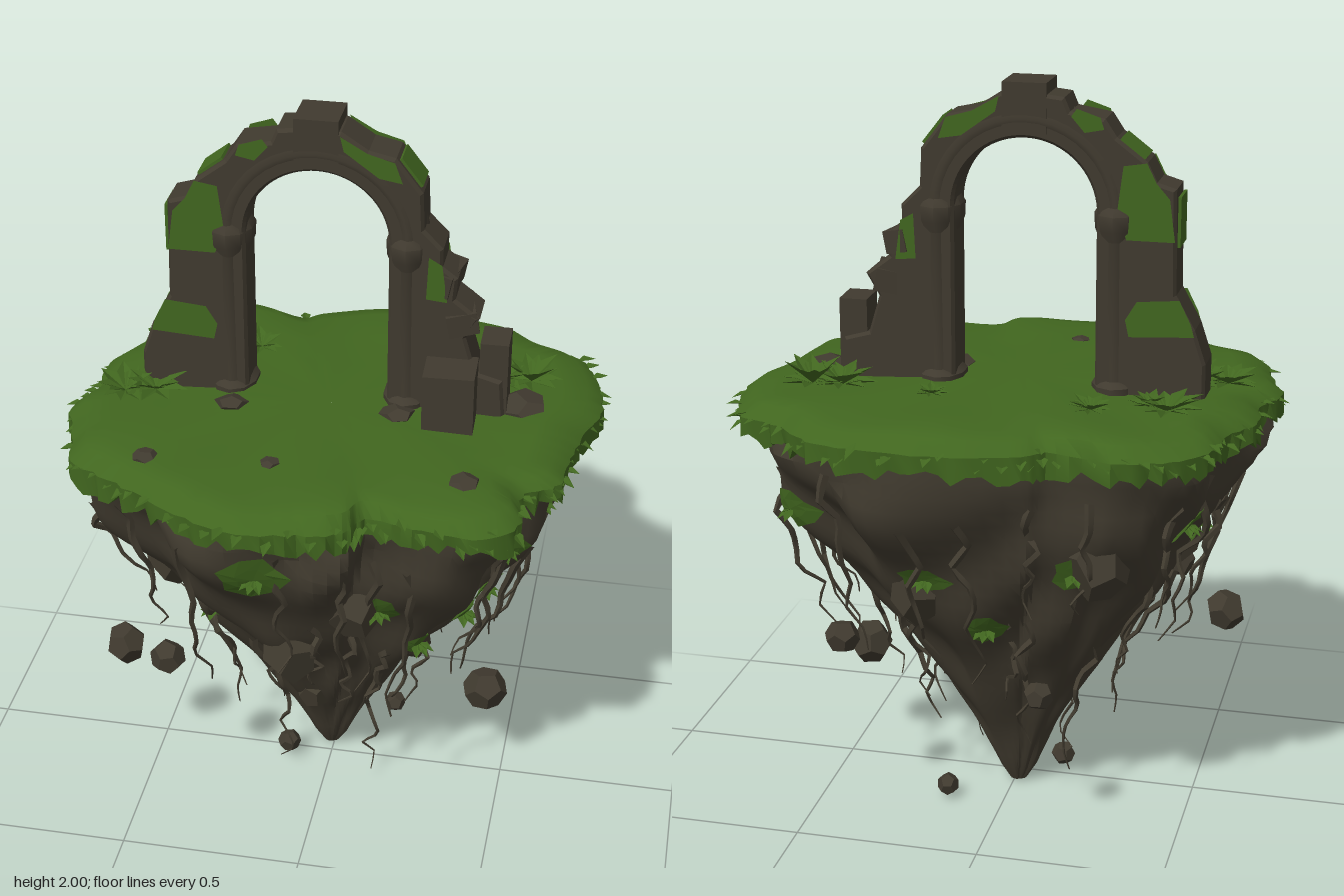
import * as THREE from 'three';
import { toCreasedNormals } from 'three/addons/utils/BufferGeometryUtils.js';

const TAU = Math.PI * 2;
const V = (x, y, z) => new THREE.Vector3(x, y, z);

export function createModel() {
  const model = new THREE.Group();
  const mat = (name, color, side = THREE.FrontSide) => {
    const m = new THREE.MeshStandardMaterial({ color, side });
    m.name = name;
    return m;
  };
  const stone = mat('stone', 0x403a2f);
  const cliffRock = mat('cliff rock', 0x423c30);
  const grass = mat('grass', 0x41661f, THREE.DoubleSide);
  const add = (name, geo, material, parent = model) => {
    const m = new THREE.Mesh(geo, material);
    m.name = name;
    parent.add(m);
    return m;
  };
  let seed = 7;
  const rand = (a = 0, b = 1) => {
    seed = (seed * 16807) % 2147483647;
    return a + (b - a) * seed / 2147483647;
  };

  // Island outline seen from above (x, z)
  const rim = [[-.13, -.54], [.06, -.59], [.25, -.59], [.42, -.55], [.52, -.46], [.63, -.41], [.68, -.31], [.7, -.155],
    [.66, -.02], [.64, .12], [.62, .23], [.54, .29], [.55, .42], [.45, .5], [.31, .49], [.17, .465], [.13, .535],
    [0, .57], [-.17, .585], [-.33, .51], [-.48, .42], [-.61, .34], [-.65, .21], [-.69, .08], [-.65, -.02],
    [-.65, -.17], [-.59, -.29], [-.58, -.39], [-.5, -.49], [-.37, -.54], [-.18, -.5]];
  const curve = new THREE.CatmullRomCurve3(rim.map(([x, z]) => V(x, 0, z)), true);
  const edge = t => curve.getPoint(((t % 1) + 1) % 1);
  const nearest = (x, z) => { // curve parameter lying in a given direction
    let best = 0, bd = -2;
    const l = Math.hypot(x, z);
    for (let i = 0; i < 200; i++) {
      const p = edge(i / 200), d = (p.x * x + p.z * z) / (l * Math.hypot(p.x, p.z));
      if (d > bd) { bd = d; best = i / 200; }
    }
    return best;
  };

  // Closed skin through rings; fn(i, j) gives a point, j runs outward and down
  const loft = (nu, nv, fn) => {
    const pos = [], idx = [];
    for (let j = 0; j <= nv; j++) for (let i = 0; i < nu; i++) pos.push(...fn(i, j).toArray());
    for (let j = 0; j < nv; j++) for (let i = 0; i < nu; i++) {
      const a = j * nu + i, b = j * nu + (i + 1) % nu;
      idx.push(a, b, a + nu, b, b + nu, a + nu);
    }
    const g = new THREE.BufferGeometry();
    g.setAttribute('position', new THREE.Float32BufferAttribute(pos, 3));
    g.setIndex(idx);
    return g;
  };

  // Tapering cliff with vertical buttresses
  const profile = [[1.16, .95], [1.08, .96], [1, .92], [.9, .84], [.8, .75], [.65, .6], [.5, .44], [.4, .345],
    [.2, .17], [.1, .105], [.03, .06], [.01, .035]];
  const widthAt = y => {
    for (let k = 1; k < profile.length; k++) {
      const [y1, f1] = profile[k], [y0, f0] = profile[k - 1];
      if (y >= y1) return THREE.MathUtils.mapLinear(Math.min(y, 1.16), y0, y1, f0, f1);
    }
    return .035;
  };
  const cliffPoint = (t, y, grow = 0) => {
    const p = edge(t), f = widthAt(y), l = Math.hypot(p.x, p.z), a = t * TAU;
    const round = .65 / l, k = THREE.MathUtils.lerp(1, round, (1 - f) * .7);
    const flute = .07 * Math.abs(Math.sin(a * 5.5 + Math.sin(y * 6) * .5)) - .05;
    const bulge = .03 * Math.sin(y * 19 + 3 * Math.sin(a * 4)) + .025 * Math.sin(a * 13 + y * 9);
    const s = f * k * (1 + (flute + bulge) * Math.min(1, (1.16 - y) * 6 + .2)) + grow / l;
    return V(p.x * s - .01 * (1 - f), y, p.z * s - .055 * (1 - f));
  };
  const cliffRows = 26;
  add('cliff', toCreasedNormals(loft(110, cliffRows + 1, (i, j) =>
    j > cliffRows ? V(-.01, .005, -.055) : cliffPoint(i / 110, 1.16 - 1.15 * j / cliffRows)), .55), cliffRock);

  // Slabs bulging out of the cliff
  const rock = (name, x, y, z, r, sy = 1, material = stone) => {
    const m = add(name, new THREE.DodecahedronGeometry(r, 0).toNonIndexed(), material);
    m.geometry.computeVertexNormals();
    m.position.set(x, y, z);
    m.scale.set(1, sy, .95);
    m.rotation.set(rand(-.4, .4), rand(0, 3), rand(-.3, .3));
    return m;
  };
  for (const [x, z, y, r] of [[.15, .4, .82, .09], [-.1, .5, .6, .09], [.6, .1, .8, .09], [-.6, .2, .75, .08],
    [-.4, -.5, .85, .09], [.3, -.5, .7, .08], [.5, .4, .6, .07], [-.1, .5, .3, .05]]) {
    const p = cliffPoint(nearest(x, z), y, -r * .55);
    rock('cliffSlab', p.x, p.y, p.z, r, 1.4, cliffRock);
  }

  // Grass cap with a ragged overhanging rim
  const cap = [[.001, 1.2], [.35, 1.205], [.65, 1.195], [.85, 1.2], [.95, 1.188], [1, 1.155], [1, 1.12], [.9, 1.125]];
  const nRim = 180, jag = Array.from({ length: nRim }, () => rand());
  add('grassCap', toCreasedNormals(loft(nRim, cap.length - 1, (i, j) => {
    const p = edge(i / nRim), [s, y] = cap[j], q = jag[i];
    const out = j === 5 ? .02 * q : j === 6 ? .045 * q - .02 : 0;
    const bump = j > 0 && j < 5 ? .007 * Math.sin(p.x * s * 15) * Math.cos(p.z * s * 13) : 0;
    return V(p.x * (s + out), y + bump - (j === 6 ? .045 * jag[(i + 3) % nRim] : 0), p.z * (s + out));
  }), .7), grass);

  // Pointed leaves, gathered into one geometry
  const leafMesh = (name, list) => {
    const pos = [];
    for (const [base, dir, len, width] of list) {
      const side = V(-dir.z, 0, dir.x).normalize().multiplyScalar(width / 2);
      const mid = base.clone().addScaledVector(dir, len * .5).add(V(0, len * .12, 0));
      const tip = base.clone().addScaledVector(dir, len);
      const l = mid.clone().add(side), r = mid.clone().sub(side);
      for (const p of [base, l, tip, base, tip, r]) pos.push(...p.toArray());
    }
    const g = new THREE.BufferGeometry();
    g.setAttribute('position', new THREE.Float32BufferAttribute(pos, 3));
    g.computeVertexNormals();
    add(name, g, grass);
  };
  const rimLeaves = [];
  for (let i = 0; i < 110; i++) {
    const p = edge((i + rand()) / 110);
    const n = V(p.x, 0, p.z).normalize();
    rimLeaves.push([V(p.x * .98, rand(1.13, 1.17), p.z * .98), V(n.x, rand(-1, .1), n.z).normalize(), rand(.03, .06), .03]);
  }
  leafMesh('rimLeaves', rimLeaves);

  // Leafy plants on the ground
  for (const [x, z, r, h] of [[-.44, -.235, .08, .5], [-.25, -.27, .06, .5], [.18, -.235, .04, .5], [.43, -.21, .08, .6],
    [.51, -.22, .08, .9], [-.56, .03, .08, .5], [-.48, .01, .08, .6], [-.39, -.2, .05, .7]]) {
    const list = [];
    for (let k = 0; k < 16; k++) {
      const a = k / 16 * TAU + rand(-.2, .2), lift = k % 2 ? h : .15;
      list.push([V(x, 1.195, z), V(Math.cos(a), lift, Math.sin(a)).normalize(), r * rand(.9, 1.3), r * .5]);
    }
    leafMesh('groundPlant', list);
  }

  // Moss patches lying on the cliff, each with a small tuft
  for (const [x, z, y, w, h] of [[-.11, .55, .97, .02, .08], [.24, .45, .79, .02, .07], [.34, .35, .64, .02, .04],
    [-.36, .3, .64, .02, .04], [.6, .29, .95, .022, .06], [.65, .03, .97, .018, .05], [.5, .39, .79, .015, .05],
    [.6, .12, .65, .025, .035], [.6, .22, .76, .012, .06], [-.6, -.3, .9, .02, .06], [-.3, -.5, .8, .015, .06],
    [.2, -.55, .75, .02, .04], [.55, -.4, .9, .02, .06], [-.65, .05, .8, .018, .06], [0, -.55, .6, .016, .05]]) {
    const t = nearest(x, z), pos = [];
    const ring = (k, s) => cliffPoint(t + Math.cos(k / 10 * TAU) * w * s * (k % 2 ? 1 : .7),
      y - Math.sin(k / 10 * TAU) * h * s * (k % 3 ? 1 : .75), .009);
    for (let k = 0; k < 10; k++) {
      const a = ring(k, .5), b = ring((k + 1) % 10, .5), c = ring(k, 1), d = ring((k + 1) % 10, 1);
      for (const p of [cliffPoint(t, y, .009), a, b, a, c, b, b, c, d]) pos.push(...p.toArray());
    }
    const g = new THREE.BufferGeometry();
    g.setAttribute('position', new THREE.Float32BufferAttribute(pos, 3));
    g.computeVertexNormals();
    add('cliffMoss', g, grass);
    const n = V(x, 0, z).normalize();
    leafMesh('cliffTuft', [-.7, 0, .7].map(a => [cliffPoint(t, y),
      V(n.x, -.5, n.z).applyAxisAngle(V(0, 1, 0), a).normalize(), .05, .03]));
  }

  // Hanging roots, crooked and tapering
  const root = (t, y0, len, hang, thick) => {
    const a = cliffPoint(t, y0, -.01), pts = [];
    for (let k = 0; k <= 8; k++) {
      const y = y0 - len * k / 8, c = cliffPoint(t, Math.max(y, .02), .012);
      const p = c.lerp(V(a.x, y, a.z), hang);
      pts.push(V(p.x + (k ? rand(-.025, .025) : 0), Math.max(y, .03), p.z + (k ? rand(-.025, .025) : 0)));
    }
    const path = new THREE.CatmullRomCurve3(pts, false, 'catmullrom', .15), n = 16;
    const g = new THREE.TubeGeometry(path, n, thick, 4, false), at = g.attributes.position;
    for (let i = 0; i < at.count; i++) {
      const ringNo = Math.floor(i / 5), c = path.getPointAt(ringNo / n);
      const p = V(0, 0, 0).fromBufferAttribute(at, i).lerp(c, .85 * ringNo / n);
      at.setXYZ(i, p.x, p.y, p.z);
    }
    add('root', toCreasedNormals(g, .6), cliffRock);
  };
  for (let i = 0; i < 24; i++) root((i + rand()) / 24, rand(.9, 1.05), rand(.3, .55), rand(.35, .65), .013);
  for (let i = 0; i < 16; i++) root((i + rand()) / 16, rand(.5, .75), rand(.25, .42), rand(.3, .6), .012);
  for (const x of [-.25, .3]) root(nearest(x, .3), .42, .38, .7, .01);

  // Stones floating round the island
  for (const [x, y, z, r] of [[-.55, .47, .2, .06], [-.39, .55, .34, .05], [.395, .545, -.38, .048], [.45, .335, .045, .064],
    [.155, .045, -.21, .032], [-.12, .05, .035, .034], [-.15, .45, -.42, .04]]) rock('floatingStone', x, y, z, r);
  // Stones lying in the grass
  for (const [x, z, r] of [[-.26, .05, .055], [.18, .025, .055], [.4, .33, .045], [-.42, .35, .035], [-.1, .32, .03],
    [.5, -.075, .075]]) rock('groundStone', x, 1.195, z, r, .5);

  // Ruined arch: one wall slab with an arched opening
  const arch = new THREE.Group();
  arch.name = 'ruinedArch';
  model.add(arch);
  const cx = -.043, cy = 1.67;
  const outer = [[.145, 1.18], [.46, 1.18], [.45, 1.3], [.38, 1.32], [.35, 1.42], [.385, 1.48], [.32, 1.53], [.325, 1.59],
    [.285, 1.62], [.285, 1.67], [.235, 1.72], [.23, 1.82], [.16, 1.91], [.09, 1.925], [.02, 1.97], [-.1, 1.97],
    [-.145, 1.965], [-.16, 1.93], [-.25, 1.915], [-.28, 1.87], [-.36, 1.81], [-.385, 1.76], [-.435, 1.745],
    [-.44, 1.47], [-.49, 1.38], [-.52, 1.29], [-.52, 1.18], [-.231, 1.18], [-.231, cy]];
  const wall = new THREE.Shape(outer.map(([x, y]) => new THREE.Vector2(x, y)));
  wall.absarc(cx, cy, .188, Math.PI, 0, true);
  const wallGeo = new THREE.ExtrudeGeometry(wall, { depth: .1, bevelThickness: .01, bevelSize: .008, bevelOffset: -.008,
    bevelSegments: 1, curveSegments: 20 });
  add('archWall', wallGeo, stone, arch).position.z = -.125;
  const ring = add('archMoulding', new THREE.TorusGeometry(.238, .05, 8, 20, Math.PI), stone, arch);
  ring.position.set(cx, cy, -.075);
  ring.scale.z = 1.35;
  const key = add('keystone', new THREE.BoxGeometry(.115, .13, .125), stone, arch);
  key.position.set(-.043, 1.935, -.075);

  // Columns with capitals and bases on both sides of the opening
  for (const s of [-1, 1]) {
    const x = cx + s * .235;
    const prof = [[0, 1.18], [.064, 1.18], [.064, 1.215], [.05, 1.23], [.049, 1.6], [.06, 1.63], [.062, 1.67], [.05, 1.69], [0, 1.69]];
    const col = add('column', toCreasedNormals(new THREE.LatheGeometry(
      prof.map(([r, y]) => new THREE.Vector2(r, y)), 10), .7), stone, arch);
    col.position.set(x, 0, -.075);
    col.scale.z = 1.35;
  }

  // Fallen and leaning blocks beside the right leg
  for (const [x, y, z, w, h, d, a] of [[.32, 1.27, .032, .135, .18, .125, .04], [.425, 1.3, -.075, .075, .21, .1, .02],
    [.33, 1.46, -.075, .08, .06, .13, .2], [.29, 1.57, -.075, .06, .06, .13, -.2]]) {
    const b = add('ruinBlock', new THREE.BoxGeometry(w, h, d), stone, arch);
    b.position.set(x, y, z);
    b.rotation.set(0, a, y > 1.4 ? a : 0);
  }

  // Moss patches on both faces of the arch: outline and distance from the wall centre
  const patches = [
    [.064, [[-.49, 1.365], [-.32, 1.355], [-.31, 1.4], [-.34, 1.45], [-.45, 1.46], [-.48, 1.4]]],
    [.064, [[-.435, 1.61], [-.31, 1.61], [-.285, 1.68], [-.3, 1.8], [-.36, 1.81], [-.385, 1.76], [-.42, 1.72]]],
    [.066, [[-.25, 1.89], [-.2, 1.88], [-.165, 1.92], [-.18, 1.94], [-.24, 1.92]]],
    [.071, [[.02, 1.965], [.03, 1.925], [.12, 1.86], [.18, 1.85], [.16, 1.905], [.09, 1.925]]],
    [.067, [[.245, 1.53], [.3, 1.525], [.285, 1.63], [.25, 1.65]]],
  ];
  for (const [off, pts] of patches) for (const s of [-1, 1]) {
    const g = new THREE.ShapeGeometry(new THREE.Shape(pts.map(([x, y]) => new THREE.Vector2(x, y))));
    add('archMoss', g, grass, arch).position.z = -.075 + s * off;
  }
  // Moss on the outer edge of the arch
  for (const [x, y, w, a] of [[.197, 1.868, .09, -.91], [-.322, 1.843, .08, .65], [-.443, 1.66, .13, Math.PI / 2]]) {
    const m = add('archEdgeMoss', new THREE.BoxGeometry(w, .008, .09), grass, arch);
    m.position.set(x, y, -.08);
    m.rotation.z = a;
  }
  return model;
}
